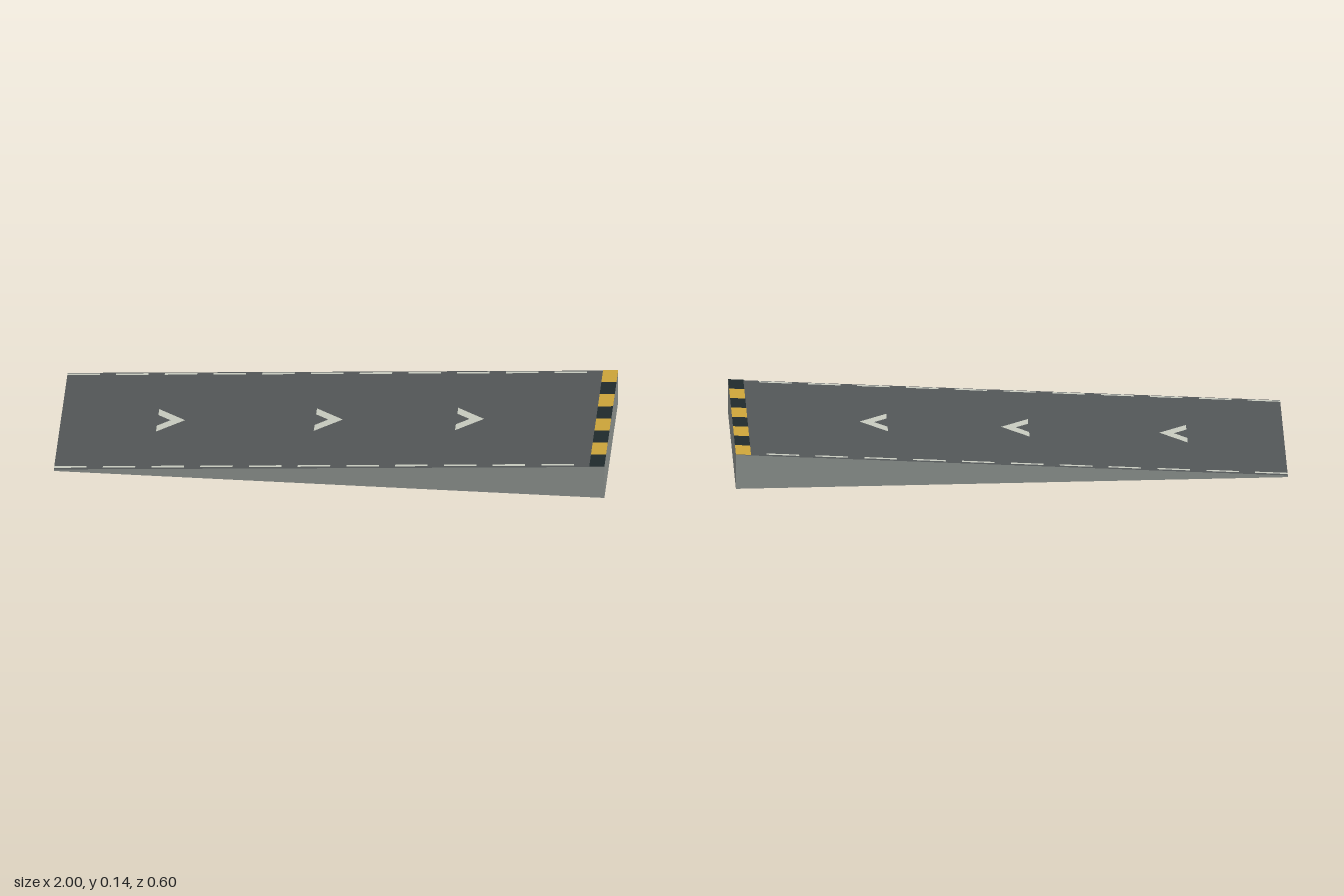
import * as THREE from 'three';

const LOW = 0.007, HIGH = 0.138, HALF = 0.3;
const slopeY = (x) => LOW + (HIGH - LOW) * (x + 1) / 2;

function material(name, color, side = THREE.FrontSide) {
  const m = new THREE.MeshStandardMaterial({ color, side });
  m.name = name;
  return m;
}

// Flat outline given as [x, z] points, laid on the slope at a small lift
function onSlope(points, lift) {
  const shape = new THREE.Shape(points.map(([x, z]) => new THREE.Vector2(x, -z)));
  const geo = new THREE.ShapeGeometry(shape).rotateX(-Math.PI / 2);
  const pos = geo.attributes.position;
  for (let i = 0; i < pos.count; i++) pos.setY(i, slopeY(pos.getX(i)) + lift);
  geo.computeVertexNormals();
  return geo;
}

const rect = (x0, x1, z0, z1) => [[x0, z0], [x0, z1], [x1, z1], [x1, z0]];

export function createModel() {
  const ramp = new THREE.Group();
  ramp.name = 'ramp';
  const deckGrey = material('deckGrey', 0x525657, THREE.DoubleSide);
  const skirtGrey = material('skirtGrey', 0x898e8b, THREE.DoubleSide);
  const paleMarking = material('paleMarking', 0xc6c9be);
  const hazardYellow = material('hazardYellow', 0xcca43a);
  const hazardDark = material('hazardDark', 0x1f2a2c);

  const add = (name, geo, mat, parent = ramp) => {
    const mesh = new THREE.Mesh(geo, mat);
    mesh.name = name;
    parent.add(mesh);
    return mesh;
  };
  const group = (name) => {
    const g = new THREE.Group();
    g.name = name;
    ramp.add(g);
    return g;
  };

  // Sloping deck, open underneath
  add('deck', onSlope(rect(-1, 1, -HALF, HALF), 0), deckGrey);

  // Wedge-shaped side skirts
  const wedge = new THREE.Shape([[-1, 0], [1, 0], [1, HIGH], [-1, LOW]]
    .map(([x, y]) => new THREE.Vector2(x, y)));
  for (const s of [1, -1]) {
    add(s > 0 ? 'frontSkirt' : 'backSkirt', new THREE.ShapeGeometry(wedge), skirtGrey).position.z = s * HALF;
  }

  // End skirts
  for (const [name, x, h] of [['highEndSkirt', 1, HIGH], ['lowEndSkirt', -1, LOW]]) {
    const end = add(name, new THREE.PlaneGeometry(2 * HALF, h), skirtGrey);
    end.rotation.y = x * Math.PI / 2;
    end.position.set(x, h / 2, 0);
  }

  // Dashed edge lines along both sides
  const dashes = group('edgeLines');
  for (const z of [-0.288, 0.288]) {
    for (let i = 0; i < 11; i++) {
      const x = -1 + i * 0.177;
      add('edgeDash', onSlope(rect(x, x + 0.118, z - 0.005, z + 0.005), 0.002), paleMarking, dashes);
    }
  }

  // Chevrons pointing up the slope
  const chevrons = group('chevrons');
  const arrow = [[0, -0.07], [0, -0.033], [0.047, 0], [0, 0.033], [0, 0.07], [0.1, 0]];
  for (const x0 of [-0.648, -0.075, 0.438]) {
    add('chevron', onSlope(arrow.map(([x, z]) => [x0 + x, z]), 0.002), paleMarking, chevrons);
  }

  // Hazard blocks across the high end
  const hazard = group('hazardStrip');
  for (let i = 0; i < 8; i++) {
    const z = -HALF + i * 0.075;
    add('hazardBlock', onSlope(rect(0.945, 1, z, z + 0.075), 0.002), i % 2 ? hazardDark : hazardYellow, hazard);
  }
  return ramp;
}
